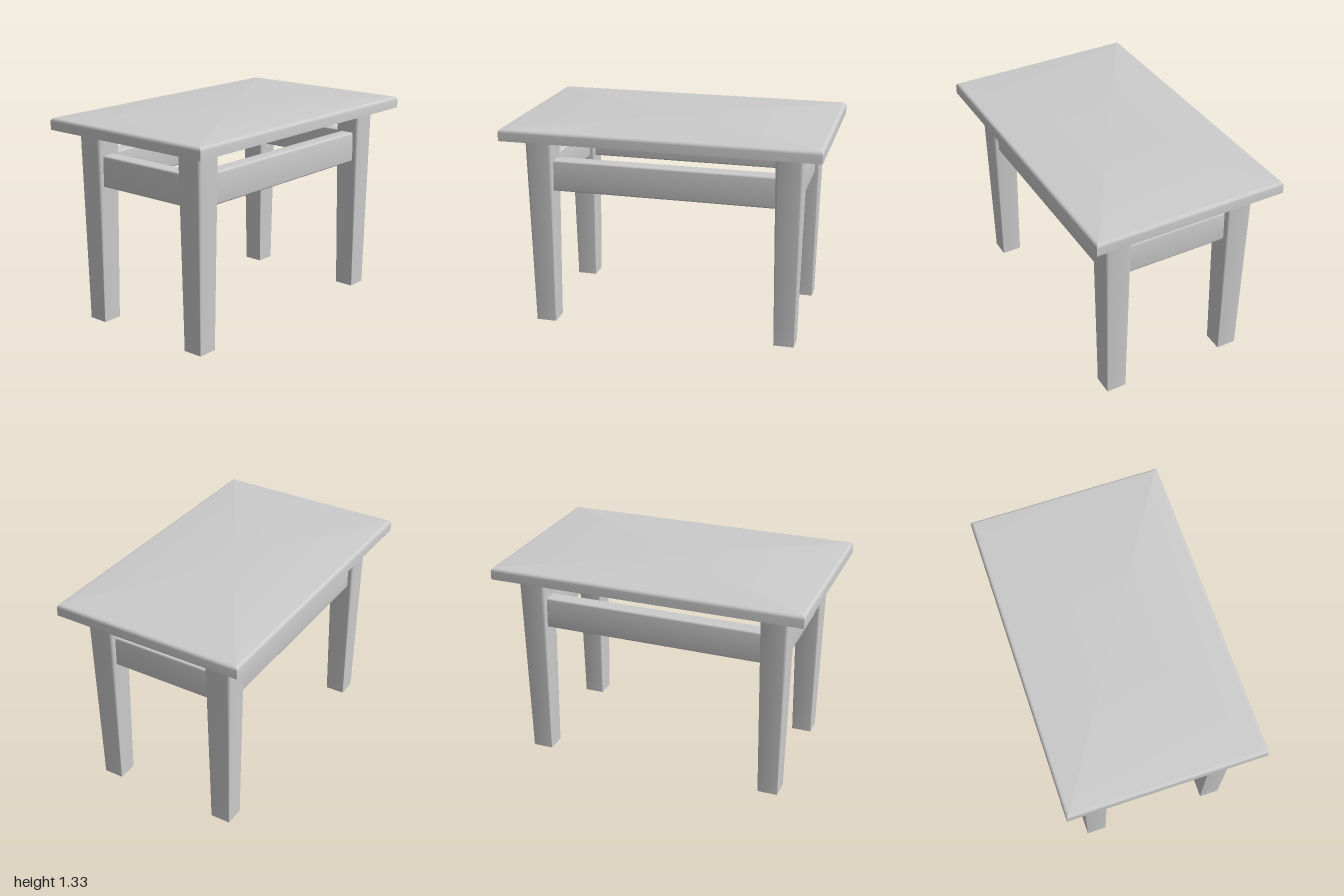
import * as THREE from 'three';
import { toCreasedNormals } from 'three/addons/utils/BufferGeometryUtils.js';

const material = new THREE.MeshStandardMaterial({ color: 0xcccccc });
const STEPS = 4; // segments per rounded corner

// Loop of points round a rectangle with rounded corners, at height y
function ring({ y, w, d, r }) {
  const points = [];
  for (let q = 0; q < 4; q++) {
    const sx = q === 0 || q === 3 ? 1 : -1;
    const sz = q < 2 ? 1 : -1;
    for (let i = 0; i <= STEPS; i++) {
      const a = (q + i / STEPS) * Math.PI / 2;
      points.push([sx * (w / 2 - r) + r * Math.cos(a), y, sz * (d / 2 - r) + r * Math.sin(a)]);
    }
  }
  return points;
}

// Closed solid through a stack of rings, bottom to top
function loft(sections) {
  const rings = sections.map(ring);
  const n = rings[0].length;
  const last = rings.length - 1;
  const positions = [...rings.flat(), [0, sections[0].y, 0], [0, sections[last].y, 0]].flat();
  const bottom = n * rings.length;
  const index = [];
  for (let i = 0; i < n; i++) {
    const j = (i + 1) % n;
    for (let k = 0; k < last; k++) {
      const a = k * n + i, b = k * n + j;
      index.push(a, a + n, b, b, a + n, b + n);
    }
    index.push(bottom, i, j, bottom + 1, last * n + j, last * n + i);
  }
  const geometry = new THREE.BufferGeometry();
  geometry.setAttribute('position', new THREE.Float32BufferAttribute(positions, 3));
  geometry.setIndex(index);
  // Enlarged while creasing so that close corner points stay distinct
  geometry.scale(100, 100, 100);
  const creased = toCreasedNormals(geometry, 0.6);
  creased.scale(0.01, 0.01, 0.01);
  return creased;
}

export function createModel() {
  const group = new THREE.Group();
  const add = (name, geometry, x, y, z) => {
    const mesh = new THREE.Mesh(geometry, material);
    mesh.name = name;
    mesh.position.set(x, y, z);
    group.add(mesh);
  };

  // Table top: square underneath, rounded over along the upper edge
  const W = 1.244, D = 2, topY = 1.325, round = 0.022;
  const topSections = [{ y: 1.25, w: W, d: D, r: 0.002 }];
  for (let i = 0; i <= 5; i++) {
    const a = i / 5 * Math.PI / 2;
    const inset = 2 * round * (1 - Math.cos(a));
    topSections.push({ y: topY - round + round * Math.sin(a), w: W - inset, d: D - inset, r: 0.002 });
  }
  add('tableTop', loft(topSections), 0, 0, 0);

  // Tapered legs, their rounded edges fading out towards the foot
  const legX = 0.413, legZ = 0.79;
  const leg = loft([
    { y: 0, w: 0.13, d: 0.13, r: 0.001 },
    { y: 0.15, w: 0.135, d: 0.135, r: 0.004 },
    { y: 1.25, w: 0.174, d: 0.174, r: 0.022 },
  ]);
  for (const [xName, x] of [['left', legX], ['right', -legX]])
    for (const [zName, z] of [['Front', legZ], ['Back', -legZ]])
      add(`${xName}${zName}Leg`, leg, x, 0, z);

  // Rails with softened edges, ending inside the legs
  const railY = 1, railH = 0.2, railT = 0.1, soft = 0.012;
  const endRail = loft([-legX, legX].map(y => ({ y, w: railH, d: railT, r: soft }))).rotateZ(Math.PI / 2);
  const sideRail = loft([-legZ, legZ].map(y => ({ y, w: railT, d: railH, r: soft }))).rotateX(Math.PI / 2);
  add('frontRail', endRail, 0, railY, legZ);
  add('backRail', endRail, 0, railY, -legZ);
  add('leftRail', sideRail, legX, railY, 0);
  add('rightRail', sideRail, -legX, railY, 0);

  return group;
}
